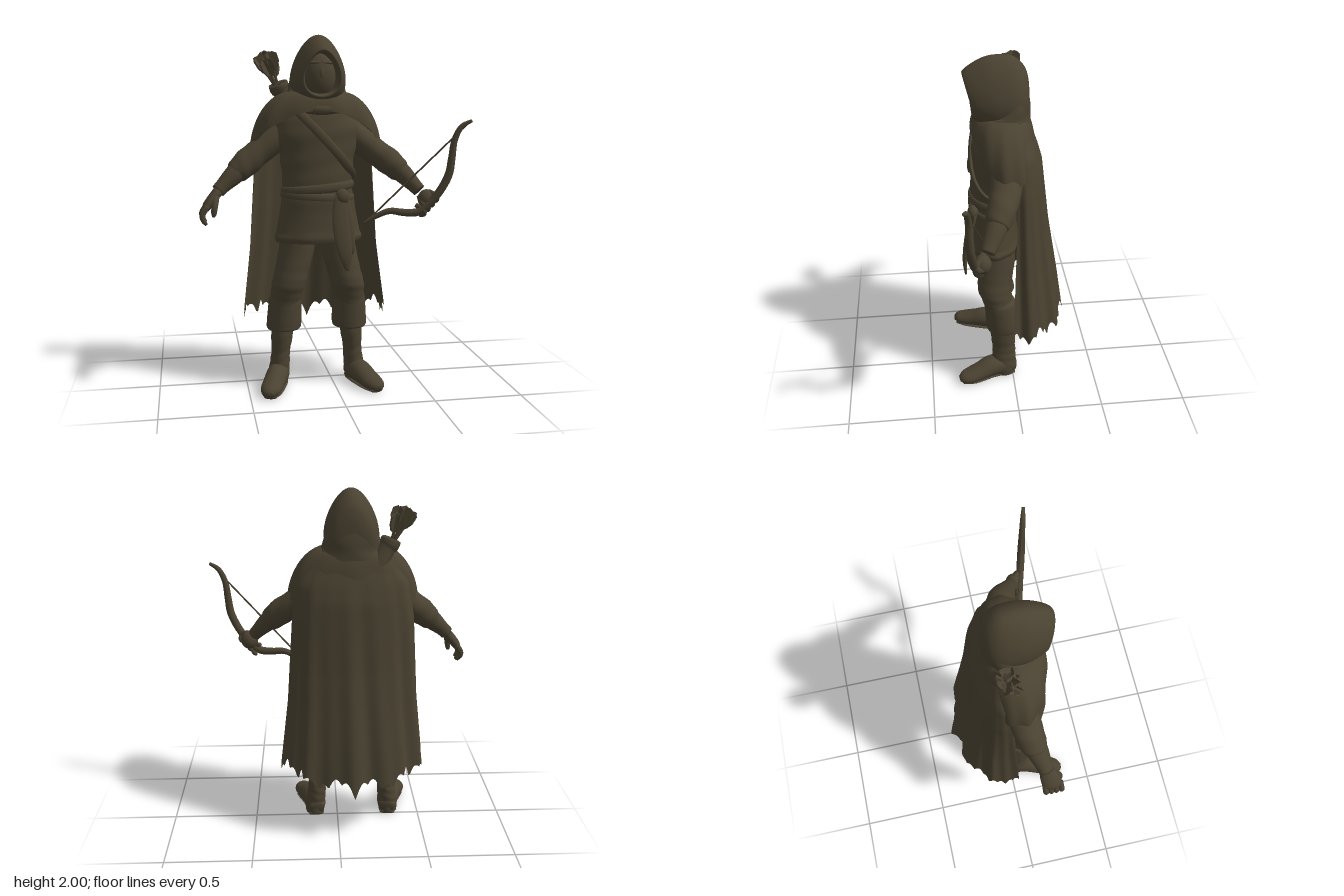
import * as THREE from 'three';

const MID = -0.09; // the body stands a little to one side of the bow
const cloth = new THREE.MeshStandardMaterial({ color: 0x4a4231, side: THREE.DoubleSide });
cloth.name = 'dark olive';
const V = (x, y, z) => new THREE.Vector3(x, y, z);

// Smooth surface from f(u, v) -> Vector3; wrap joins the u seam
function surf(f, nu, nv, wrap = true) {
  const pos = [], idx = [], cols = wrap ? nu : nu + 1;
  for (let i = 0; i <= nv; i++)
    for (let j = 0; j < cols; j++) pos.push(...f(j / nu, i / nv).toArray());
  for (let i = 0; i < nv; i++)
    for (let j = 0; j < nu; j++) {
      const k = (j + 1) % cols, a = i * cols + j, b = i * cols + k;
      idx.push(a, b, a + cols, b, b + cols, a + cols);
    }
  const g = new THREE.BufferGeometry();
  g.setAttribute('position', new THREE.Float32BufferAttribute(pos, 3));
  g.setIndex(idx);
  g.computeVertexNormals();
  return g;
}

// Closed sweep through rings [x, y, z, a, b]; a lies along ref, b across it.
// With flat = true the rings stay horizontal (a along x, b along z, listed top down).
function loft(rings, { flat = false, ref = V(0, 0, 1), n = 24, sub = 5, ripple = () => 1 } = {}) {
  const path = new THREE.CatmullRomCurve3(rings.map(r => V(r[0], r[1], r[2])), false, 'catmullrom', 0.5);
  const size = new THREE.CatmullRomCurve3(rings.map(r => V(r[3], r[4] ?? r[3], 0)), false, 'catmullrom', 0.5);
  const steps = (rings.length - 1) * sub, nv = steps + 2;
  return surf((u, v) => {
    const i = Math.round(v * nv), t = Math.min(Math.max((i - 1) / steps, 0), 1);
    const c = path.getPoint(t);
    if (i === 0 || i === nv) return c; // collapsed ring closes the end
    const s = size.getPoint(t), d = path.getTangent(t), th = u * Math.PI * 2;
    const p = flat ? V(1, 0, 0) : ref.clone().addScaledVector(d, -ref.dot(d)).normalize();
    const q = flat ? V(0, 0, 1) : d.clone().cross(p);
    const k = ripple(th, t);
    return c.addScaledVector(p, s.x * k * Math.cos(th)).addScaledVector(q, s.y * k * Math.sin(th));
  }, n, nv);
}

// Linear look-up through [key, value] pairs with falling keys
function ramp(table, y) {
  for (let i = 1; i < table.length; i++) {
    const [y0, a] = table[i - 1], [y1, b] = table[i];
    if (y >= y1) return a + (b - a) * (y0 - y) / (y0 - y1);
  }
  return table[table.length - 1][1];
}

export function createModel() {
  const model = new THREE.Group();
  const add = (name, geo) => {
    const m = new THREE.Mesh(geo, cloth);
    m.name = name;
    model.add(m);
    return m;
  };
  const ball = (name, x, y, z, rx, ry, rz) => {
    const m = add(name, new THREE.SphereGeometry(1, 24, 16));
    m.position.set(x, y, z);
    m.scale.set(rx, ry, rz);
  };

  // Torso, belt and skirted tunic
  add('torso', loft([[MID, 1.66, .03, .1, .09], [MID, 1.58, .05, .2, .13], [MID, 1.47, .07, .24, .14],
    [MID, 1.33, .075, .212, .14], [MID, 1.2, .085, .2, .135], [MID, 1.05, .09, .2, .13]],
  { flat: true, n: 40, sub: 8, ripple: (a, t) => 1 + .012 * Math.sin(t * 34 + 2 * Math.cos(a)) }));
  add('tunicSkirt', loft([[MID, 1.13, .095, .19, .125], [MID, 1.09, .095, .207, .138], [MID, 1.02, .093, .217, .14],
    [MID, .93, .094, .234, .145], [MID, .9, .094, .24, .15], [MID, .875, .094, .25, .153], [MID, .85, .094, .243, .147]],
  { flat: true, n: 60, ripple: (a, t) => 1 + t * .022 * Math.sin(a * 7 + 1) }));
  const belt = (name, y, tilt, r) => {
    const m = add(name, new THREE.TorusGeometry(1, .1, 12, 48));
    m.rotation.set(Math.PI / 2, tilt, 0);
    m.scale.set(.195 * r, .134 * r, .26);
    m.position.set(MID, y, .09);
  };
  belt('upperBelt', 1.155, .09, .98);
  belt('lowerBelt', 1.105, -.06, .99);
  ball('beltKnot', .03, 1.11, .215, .04, .045, .032);
  add('sash', loft([[.015, 1.12, .22, .012, .032], [.015, 1, .24, .015, .046], [.025, .88, .262, .014, .047],
    [.04, .78, .272, .012, .036], [.05, .7, .268, .006, .01]]));
  add('shortSash', loft([[.04, 1.1, .205, .012, .03], [.06, .97, .235, .014, .03], [.075, .84, .25, .012, .022],
    [.08, .79, .25, .006, .008]]));

  // Chest strap
  add('chestStrap', loft([[-.25, 1.63, .1, .012, .022], [-.19, 1.56, .18, .012, .024], [-.09, 1.455, .214, .012, .025],
    [.01, 1.345, .212, .012, .025], [.08, 1.26, .168, .012, .025], [.115, 1.21, .09, .012, .022]]));

  // Legs: trousers, cuffs, boots and feet, mirrored about the body's middle
  for (const s of [1, -1]) {
    const side = s > 0 ? 'left' : 'right';
    const at = rings => rings.map(([dx, ...r]) => [MID + s * dx, ...r]);
    add(side + 'Trouser', loft(at([[.1, .98, .085, .09, .105], [.122, .8, .083, .102, .11], [.15, .68, .095, .098, .103],
      [.17, .6, .1, .098, .1], [.182, .53, .085, .09, .09], [.195, .45, .065, .085, .09]]),
    { flat: true, ripple: (a, t) => 1 + .02 * Math.sin(t * 40 + a) * t }));
    add(side + 'BootCuff', loft(at([[.187, .535, .07, .075, .075], [.187, .515, .07, .092, .093], [.19, .43, .06, .098, .1],
      [.192, .36, .05, .101, .106], [.195, .33, .05, .094, .1], [.2, .325, .05, .06, .06]]), { flat: true }));
    add(side + 'Boot', loft(at([[.197, .4, .055, .066, .075], [.205, .29, .055, .063, .076], [.212, .2, .052, .054, .07],
      [.218, .13, .052, .057, .073], [.226, .06, .052, .06, .07], [.228, .006, .05, .056, .066]]),
    { flat: true, sub: 8, ripple: (a, t) => 1 + .02 * Math.sin(t * 42 + 2.5 * Math.cos(a)) * Math.sin(t * Math.PI) }));
    add(side + 'Foot', loft(at([[.218, .045, -.015, .04, .045], [.224, .06, .05, .06, .062], [.245, .066, .13, .065, .064],
      [.27, .052, .2, .052, .062], [.292, .04, .265, .04, .06], [.304, .034, .31, .033, .046], [.308, .03, .335, .014, .02]]),
    { ref: V(0, 1, 0) }));
    add(side + 'Sole', loft(at([[.22, .01, -.01, .01, .045], [.226, .01, .06, .01, .054], [.245, .01, .14, .01, .054],
      [.285, .01, .25, .01, .056], [.303, .01, .318, .01, .035]]), { ref: V(0, 1, 0) }));
  }

  // Arms: sleeve, bracer
  const creases = (a, t) => 1 + .03 * Math.sin(t * 30 + 2 * a) * t;
  add('rightSleeve', loft([[-.22, 1.51, .03, .09, .07], [-.33, 1.42, .03, .095, .078], [-.42, 1.35, .045, .085, .075],
    [-.49, 1.292, .06, .08, .077], [-.545, 1.243, .075, .068, .064], [-.555, 1.235, .078, .05, .05]], { ripple: creases }));
  add('rightBracer', loft([[-.5, 1.285, .065, .06], [-.56, 1.23, .085, .06, .056], [-.62, 1.175, .105, .047, .043],
    [-.65, 1.145, .115, .043, .04]]));
  add('leftSleeve', loft([[.05, 1.51, .03, .09, .07], [.16, 1.42, .03, .095, .078], [.25, 1.35, .05, .085, .075],
    [.33, 1.289, .08, .08, .076], [.385, 1.238, .105, .068, .064], [.395, 1.23, .11, .05, .05]], { ripple: creases }));
  add('leftBracer', loft([[.34, 1.28, .085, .06], [.4, 1.225, .115, .06, .056], [.455, 1.165, .15, .047, .043],
    [.485, 1.13, .17, .04, .038]]));

  // Open right hand
  add('rightPalm', loft([[-.635, 1.16, .11, .035, .03], [-.675, 1.115, .125, .05, .028], [-.71, 1.07, .137, .055, .026],
    [-.725, 1.045, .14, .048, .02]]));
  for (let i = 0; i < 4; i++) {
    const z = .097 + i * .029, len = [.85, 1, 1.05, .95][i];
    add('rightFinger', loft([[-.71, 1.07, z, .016], [-.738, 1.03, z + .002, .017],
      [-.738, 1.03 - .035 * len, z + .004, .015], [-.72, 1.03 - .065 * len, z + .005, .008]], { n: 10 }));
  }
  add('rightThumb', loft([[-.665, 1.115, .155, .02], [-.673, 1.07, .185, .018], [-.678, 1.03, .19, .015],
    [-.68, 1.01, .19, .008]], { n: 12 }));

  // Left fist around the bow grip
  ball('leftFist', .52, 1.085, .2, .05, .055, .048);
  for (let i = 0; i < 4; i++) {
    const x = .555 - i * .024, y = 1.105 - i * .026;
    add('leftFinger', loft([[x - .025, y + .025, .205, .013], [x + .008, y, .235, .017], [x + .015, y - .025, .222, .016],
      [x, y - .035, .195, .01]], { n: 10, ref: V(1, 1, 0).normalize() }));
  }
  add('leftThumb', loft([[.485, 1.1, .19, .02], [.492, 1.06, .225, .018], [.515, 1.04, .245, .012]], { n: 12 }));

  // Bow and string lie in one slanting upright plane
  const bowZ = x => .16 + .28 * (x - .25);
  add('bow', loft([[.745, 1.53, .009], [.69, 1.495, .015], [.655, 1.42, .018], [.642, 1.32, .021], [.628, 1.23, .023],
    [.585, 1.14, .023], [.53, 1.07, .022], [.465, 1.015, .023], [.39, 1.01, .021], [.31, 1.017, .018],
    [.235, .985, .015], [.17, .945, .009]].map(([x, y, r]) => [x, y, bowZ(x), r, r]), { n: 12 }));
  add('bowString', new THREE.TubeGeometry(new THREE.LineCurve3(V(.725, 1.515, bowZ(.725)), V(.18, .95, bowZ(.18))), 1, .005, 6));

  // Masked face under the hood
  ball('face', -.08, 1.775, .108, .09, .13, .088);
  ball('nose', -.08, 1.785, .178, .022, .045, .02);
  ball('brow', -.08, 1.845, .153, .07, .016, .03);

  // Hood: rings from back to rim, then folded inwards; [cy, z, rx, ry, forward lean]
  const hood = [[1.79, -.112, 0, 0, 0], [1.785, -.108, .06, .08, 0], [1.78, -.088, .112, .15, 0], [1.785, -.035, .143, .2, 0],
    [1.795, .035, .15, .206, 0], [1.795, .1, .146, .199, .1], [1.79, .165, .13, .167, .2], [1.785, .208, .11, .136, .27],
    [1.785, .213, .097, .12, .27], [1.785, .18, .09, .112, .2], [1.785, .1, .085, .11, .1]];
  const hoodCurve = k => new THREE.CatmullRomCurve3(hood.map(k), false, 'catmullrom', .5);
  const hoodA = hoodCurve(r => V(r[0], r[1], r[4])), hoodB = hoodCurve(r => V(r[2], r[3], 0));
  add('hood', surf((u, v) => {
    const a = hoodA.getPoint(v), b = hoodB.getPoint(v), th = u * Math.PI * 2;
    const dy = b.y * Math.sin(th), lean = dy > 0 ? a.z : a.z * .4;
    return V(-.08 + b.x * Math.cos(th) * (1 - .26 * Math.sin(th)), a.x + dy, a.y + lean * dy);
  }, 48, 50));

  // Cowl flowing from the hood to the shoulders, with draped folds at the throat
  add('cowl', loft([[-.08, 1.82, -.035, .125, .07], [-.08, 1.74, -.02, .155, .098], [-.08, 1.68, .015, .172, .135],
    [-.085, 1.63, .03, .205, .153], [MID, 1.57, .035, .245, .16]],
  { flat: true, n: 40, ripple: (a, t) => 1 + .015 * Math.sin(a * 5 + t * 8) * t }));
  for (const [drop, r] of [[0, .15], [.04, .175]]) {
    const arc = [];
    for (let i = 0; i <= 8; i++) {
      const a = Math.PI * (i / 8 * 1.3 - .15), s = Math.sin(a);
      arc.push([-.08 + r * Math.cos(a), 1.69 - drop - (.045 + drop * .4) * s, .025 + r * .93 * s, .006 + .022 * Math.sin(i / 8 * Math.PI)]);
    }
    add('throatFold', loft(arc, { ref: V(0, 1, 0), n: 14, sub: 4 }));
  }

  // Shoulder mantle: open at the chest, long over the shoulders, tucked under the cape behind
  add('mantle', surf((u, v) => {
    const a = u * Math.PI * 2, s = Math.sin(a), c = Math.cos(a);
    const low = s > 0 ? 1.385 + .2 * s ** 1.7 : 1.385 - .02 * s;
    const out = Math.sin(v * Math.PI / 2), drop = 1 - Math.max(0, 1 - out ** 2.2) ** .6;
    const fold = 1 + .02 * v * Math.sin(a * 11), depth = s > 0 ? .08 : .085;
    return V(MID + c * (.13 + .24 * out) * fold, 1.69 - (1.69 - low) * drop, .03 + s * (.1 + depth * out) * fold);
  }, 96, 20));

  // Long tattered cape
  const width = [[1.62, .22], [1.5, .31], [1.3, .345], [.8, .375], [.4, .42], [.2, .43]];
  const back = [[1.62, -.115], [1.5, -.158], [1.4, -.185], [1, -.225], [.6, -.285], [.3, -.325], [.2, -.33]];
  add('cape', surf((u, v) => {
    const a = (u * 2 - 1) * 1.8;
    const hem = .285 + .07 * Math.abs(Math.sin(a)) + .075 * Math.abs(Math.sin(a * 6.5)) * Math.abs(Math.sin(a * 3.1 + 1.5))
      + .04 * Math.abs(Math.sin(a * 17));
    const y = 1.62 - v * (1.62 - hem), w = ramp(width, y), zb = ramp(back, y), ze = -.05;
    const fold = v * (.013 * Math.sin(a * 10 + v) + .008 * Math.sin(a * 17 + 2 * v));
    return V(MID + (w + fold) * Math.sin(a), y, ze + (zb - ze - fold) * Math.cos(a));
  }, 160, 40, false));

  // Quiver slung behind the right shoulder
  add('quiver', loft([[-.295, 1.73, -.03, .04], [-.297, 1.735, -.03, .055], [-.285, 1.705, -.035, .057],
    [-.27, 1.68, -.04, .05], [-.2, 1.55, -.07, .052], [-.06, 1.3, -.1, .045], [-.02, 1.22, -.1, .035]], { sub: 3 }));

  // Fletched arrows fanning out of it
  const vane = new THREE.Shape([[0, 0], [.026, .015], [.045, .05], [.042, .095], [.016, .112], [0, .1]]
    .map(p => new THREE.Vector2(...p)));
  const vaneGeo = new THREE.ExtrudeGeometry(vane, { depth: .009, bevelEnabled: false });
  [[-.41, 1.865, -.03], [-.37, 1.895, -.06], [-.345, 1.89, -.01], [-.32, 1.86, -.055], [-.375, 1.85, .005]].forEach((e, i) => {
    const end = V(...e), foot = V(-.285 - .01 * (i % 2), 1.68, -.035);
    const length = end.distanceTo(foot);
    const arrow = new THREE.Group();
    arrow.name = 'arrow';
    const shaft = new THREE.Mesh(new THREE.CylinderGeometry(.008, .008, length + .02, 8), cloth);
    shaft.name = 'shaft';
    shaft.position.y = -length / 2 + .01;
    arrow.add(shaft);
    for (let k = 0; k < 3; k++) {
      const fin = new THREE.Mesh(vaneGeo, cloth);
      fin.name = 'vane';
      fin.position.y = -.09;
      fin.rotation.y = k * Math.PI * 2 / 3 + i;
      arrow.add(fin);
    }
    arrow.position.copy(end);
    arrow.quaternion.setFromUnitVectors(V(0, 1, 0), end.clone().sub(foot).normalize());
    model.add(arrow);
  });
  return model;
}
